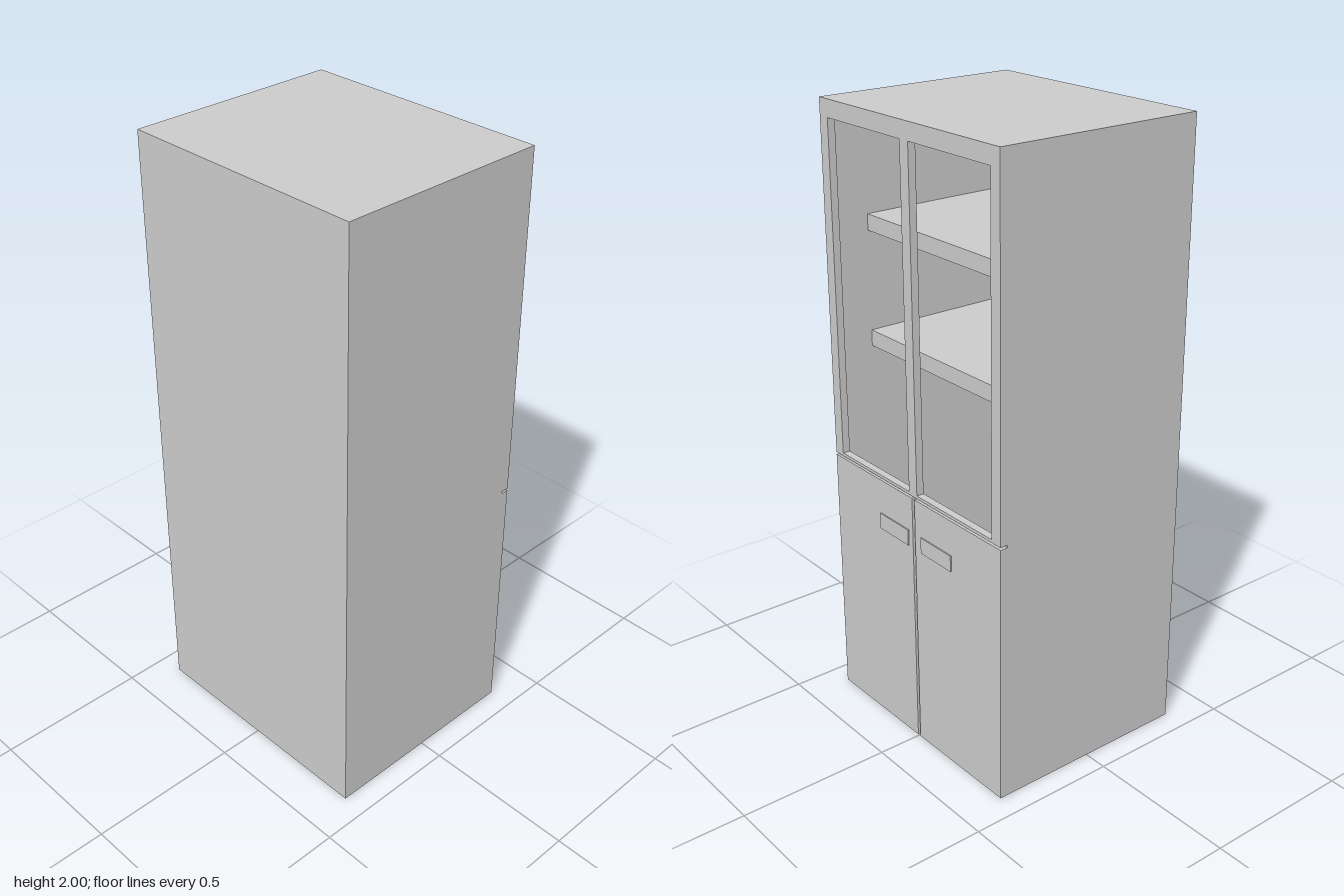
import * as THREE from 'three';

const material = new THREE.MeshStandardMaterial({ color: 0xcccccc, flatShading: true });

// Main sizes: the doors of the cabinet face -z
const W = 0.42, BACK = 0.353, FRONT = -0.351;
const DOOR = 0.025, WALL = 0.035, INNER = W - WALL;
const BODY_FRONT = FRONT + DOOR;

export function createModel() {
  const cabinet = new THREE.Group();
  cabinet.name = 'cabinet';

  // Box given by its lower and upper limits on each axis
  const box = (name, x0, x1, y0, y1, z0, z1) => {
    const mesh = new THREE.Mesh(new THREE.BoxGeometry(x1 - x0, y1 - y0, z1 - z0), material);
    mesh.position.set((x0 + x1) / 2, (y0 + y1) / 2, (z0 + z1) / 2);
    mesh.name = name;
    cabinet.add(mesh);
  };

  // Hollow carcass
  for (const [name, x0, x1] of [['leftSide', INNER, W], ['rightSide', -W, -INNER]])
    box(name, x0, x1, 0, 2, BODY_FRONT, BACK);
  box('topPanel', -INNER, INNER, 1.945, 2, BODY_FRONT, BACK);
  box('bottomPanel', -INNER, INNER, 0, 0.04, BODY_FRONT, BACK);
  box('backPanel', -INNER, INNER, 0.04, 1.945, BACK - 0.04, BACK);

  // Two shelves, set back from the front
  for (const top of [1.635, 1.26])
    box('shelf', -INNER, INNER, top - 0.052, top, FRONT + 0.13, BACK - 0.04);

  // Upper front frame with two open windows and a central post
  const frame = new THREE.Shape();
  const rect = (path, x0, x1, y0, y1) =>
    path.moveTo(x0, y0).lineTo(x1, y0).lineTo(x1, y1).lineTo(x0, y1).closePath();
  rect(frame, -W, W, 0.863, 2);
  for (const [x0, x1] of [[-0.38, -0.02], [0.02, 0.38]]) {
    const hole = new THREE.Path();
    rect(hole, x0, x1, 0.873, 1.945);
    frame.holes.push(hole);
  }
  const frameMesh = new THREE.Mesh(
    new THREE.ExtrudeGeometry(frame, { depth: DOOR, bevelEnabled: false }), material);
  frameMesh.position.z = FRONT;
  frameMesh.name = 'windowFrame';
  cabinet.add(frameMesh);

  // Lower doors with a narrow gap between them
  box('leftDoor', 0.006, W, 0, 0.855, FRONT, BODY_FRONT);
  box('rightDoor', -W, -0.006, 0, 0.855, FRONT, BODY_FRONT);

  // Flat handle plates
  box('leftHandle', 0.027, 0.175, 0.687, 0.74, FRONT - 0.004, FRONT);
  box('rightHandle', -0.188, -0.039, 0.687, 0.74, FRONT - 0.004, FRONT);

  return cabinet;
}
